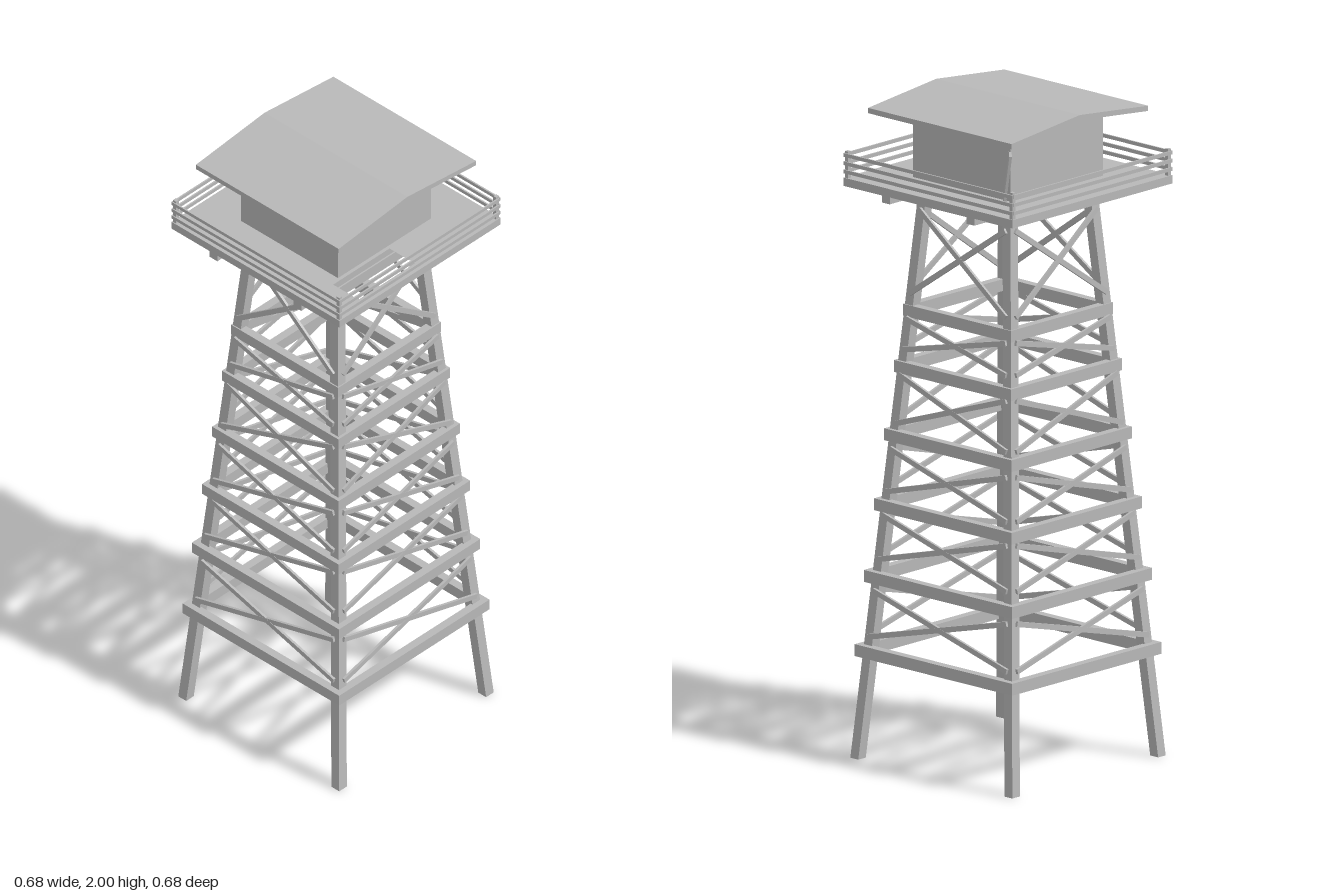
import * as THREE from 'three';

export function createModel() {
  const tower = new THREE.Group();
  tower.name = 'lookoutTower';
  const grey = new THREE.MeshStandardMaterial({ color: 0xb8b8b8 });
  grey.name = 'weathered grey';

  const add = (parent, name, geometry, x = 0, y = 0, z = 0) => {
    const mesh = new THREE.Mesh(geometry, grey);
    mesh.name = name;
    mesh.position.set(x, y, z);
    parent.add(mesh);
    return mesh;
  };
  const box = (parent, name, w, h, d, x, y, z) =>
    add(parent, name, new THREE.BoxGeometry(w, h, d), x, y, z);

  // Distance of a leg's axis from the centre at a given height
  const legTop = 1.735;
  const legAt = (y) => 0.31 - (0.142 * y) / 1.73;

  // Four splayed legs
  for (const sx of [-1, 1]) for (const sz of [-1, 1]) {
    const geo = new THREE.BoxGeometry(0.032, legTop, 0.032).translate(0, legTop / 2, 0);
    const p = geo.attributes.position;
    for (let i = 0; i < p.count; i++) {
      const off = legAt(p.getY(i));
      p.setX(i, p.getX(i) + sx * off);
      p.setZ(i, p.getZ(i) + sz * off);
    }
    geo.computeVertexNormals();
    add(tower, 'leg', geo);
  }

  // Horizontal beams [height, half length] and cross braces [low end, high end]
  const levels = [[0.326, 0.317], [0.551, 0.298], [0.768, 0.277], [0.98, 0.256],
    [1.187, 0.236], [1.357, 0.217], [1.694, 0.19]];
  const panels = [[0.37, 0.51], [0.605, 0.74], [0.81, 0.94], [1.015, 1.165],
    [1.24, 1.335], [1.41, 1.665]];
  for (let side = 0; side < 4; side++) {
    const face = new THREE.Group();
    face.name = 'towerSide';
    face.rotation.y = (side * Math.PI) / 2;
    for (const [y, half] of levels) {
      const inset = side % 2 ? 0.026 : 0;
      box(face, 'beam', 2 * (half - inset), 0.036, 0.026, 0, y, half - 0.013);
    }
    for (const [y0, y1] of panels) for (const s of [-1, 1]) {
      const out = 0.02;
      const a = new THREE.Vector3(-s * legAt(y0), y0, legAt(y0) + out);
      const b = new THREE.Vector3(s * legAt(y1), y1, legAt(y1) + out);
      const brace = box(face, 'crossBrace', 0.016, 0.008, a.distanceTo(b), 0, 0, 0);
      brace.position.copy(a).lerp(b, 0.5);
      // Flat side of the brace lies against the legs
      const along = b.clone().sub(a).normalize();
      const across = new THREE.Vector3(0, 0, 1).cross(along).normalize();
      brace.quaternion.setFromRotationMatrix(
        new THREE.Matrix4().makeBasis(across, along.clone().cross(across), along));
    }
    tower.add(face);
  }

  // Joists running front to back under the deck
  for (const s of [-1, 1]) box(tower, 'joist', 0.032, 0.022, 0.68, s * 0.17, 1.724, 0);

  // Deck with an access hatch (shape y becomes -z)
  const rect = (Type, x0, x1, z0, z1) => {
    const r = new Type();
    r.moveTo(x0, -z0).lineTo(x1, -z0).lineTo(x1, -z1).lineTo(x0, -z1).closePath();
    return r;
  };
  const deck = rect(THREE.Shape, -0.34, 0.34, -0.34, 0.34);
  deck.holes.push(rect(THREE.Path, 0.205, 0.31, -0.01, 0.228));
  add(tower, 'deck', new THREE.ExtrudeGeometry(deck, { depth: 0.025, bevelEnabled: false })
    .rotateX(-Math.PI / 2), 0, 1.734, 0);

  // Railing
  const railing = new THREE.Group();
  railing.name = 'railing';
  for (const sx of [-1, 1]) {
    for (const sz of [-1, 1])
      box(railing, 'railPost', 0.012, 0.082, 0.012, sx * 0.331, 1.799, sz * 0.331);
    for (const y of [1.778, 1.803, 1.828]) {
      box(railing, 'rail', 0.68, 0.011, 0.005, 0, y, sx * 0.338);
      box(railing, 'rail', 0.005, 0.011, 0.67, sx * 0.338, y, 0);
    }
  }
  tower.add(railing);

  // Cabin and roof: gable profiles extruded along x
  const gable = (name, points, length) => {
    const shape = new THREE.Shape(points.map(([z, y]) => new THREE.Vector2(-z, y)));
    const geo = new THREE.ExtrudeGeometry(shape, { depth: length, bevelEnabled: false });
    add(tower, name, geo.translate(0, 0, -length / 2).rotateY(Math.PI / 2));
  };
  gable('cabin', [[-0.196, 1.759], [0.196, 1.759], [0.196, 1.966], [0, 1.986], [-0.196, 1.966]], 0.392);
  gable('roof', [[-0.29, 1.954], [-0.29, 1.97], [0, 2], [0.29, 1.97], [0.29, 1.954], [0, 1.984]], 0.578);

  // Door leaf standing ajar at the back corner, sagging outwards at the top
  const doorGeo = new THREE.BoxGeometry(0.065, 0.148, 0.008).rotateY(-Math.PI / 4);
  const dp = doorGeo.attributes.position;
  for (let i = 0; i < dp.count; i++) if (dp.getY(i) < 0) dp.setX(i, dp.getX(i) + 0.024);
  doorGeo.computeVertexNormals();
  add(tower, 'door', doorGeo, -0.211, 1.835, -0.213);

  return tower;
}
